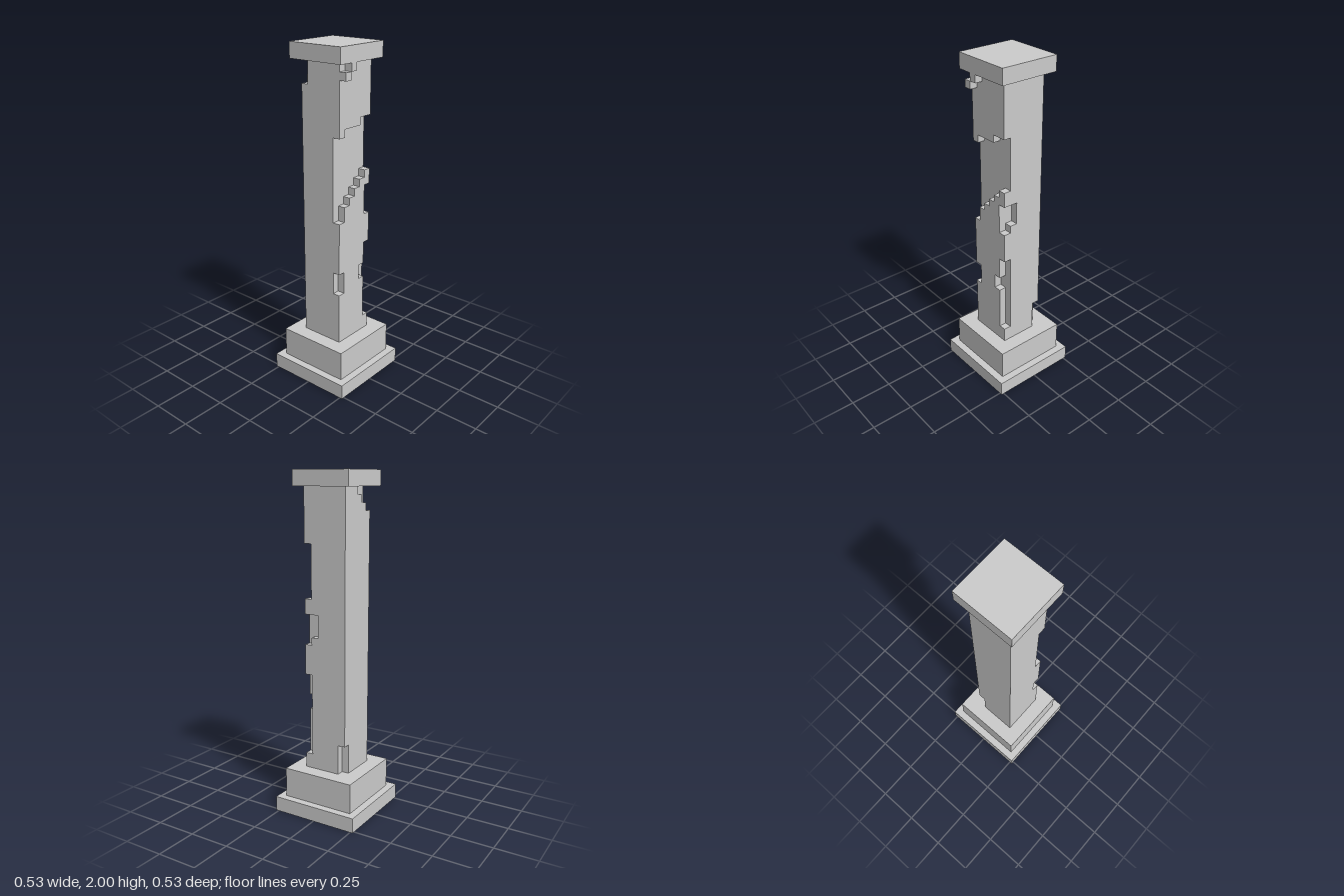
import * as THREE from 'three';

const U = 2 / 45; // one block
const BOTTOM = 6, TOP = 43; // shaft levels, in blocks
const material = new THREE.MeshStandardMaterial({ color: 0xcccccc, flatShading: true });

// Chipped-away blocks: [x0, x1, y0, y1, z0, z1], upper bounds exclusive
const chips = [
  // diagonal gouge across the +x face, one entry per column from back to front
  ...[[29, 36], [28, 36], [27, 35], [26, 35], [25, 35], [23, 34]]
    .map(([y0, y1], z) => [5, 6, y0, y1, z, z + 1]),
  // back corner chips on +x
  [5, 6, 23, 27, 0, 1], [4, 5, 24, 27, 0, 1],
  [5, 6, 8, 19, 0, 1], [5, 6, 14, 16, 1, 2],
  // front corner chip on +x
  [5, 6, 13, 16, 5, 6],
  // stepped chip under the capital on -x
  [0, 1, 40, 43, 5, 6], [0, 1, 41, 43, 4, 5], [0, 1, 42, 43, 3, 4],
  // foot chip at the back on -x
  [0, 1, 6, 10, 0, 1],
];
// Fragments standing proud of the +x face
const fragments = [[6, 7, 41, 42, 5, 6], [6, 7, 42, 43, 4, 5]];

const inside = (x, y, z) => ([x0, x1, y0, y1, z0, z1]) =>
  x >= x0 && x < x1 && y >= y0 && y < y1 && z >= z0 && z < z1;

function solid(x, y, z) {
  const test = inside(x, y, z);
  if (fragments.some(test)) return true;
  return test([0, 6, BOTTOM, TOP, 0, 6]) && !chips.some(test);
}

// Skin of the block shaft: only exposed faces, side faces merged vertically
function shaftGeometry() {
  const pos = [];
  const quad = (a, b, c, d) => {
    for (const p of [a, b, c, a, c, d]) pos.push((p[0] - 3) * U, p[1] * U, (p[2] - 3) * U);
  };
  for (let x = 0; x < 7; x++) for (let z = 0; z < 6; z++) {
    // sides
    for (const [nx, nz] of [[1, 0], [-1, 0], [0, 1], [0, -1]]) {
      const corner = (s, y) => [x + 0.5 + (nx + s * nz) / 2, y, z + 0.5 + (nz - s * nx) / 2];
      let start = -1;
      for (let y = BOTTOM; y <= TOP; y++) {
        const open = solid(x, y, z) && !solid(x + nx, y, z + nz);
        if (open && start < 0) start = y;
        if (!open && start >= 0) {
          quad(corner(-1, start), corner(1, start), corner(1, y), corner(-1, y));
          start = -1;
        }
      }
    }
    // ledges and undersides
    for (let y = BOTTOM + 1; y < TOP; y++) {
      const below = solid(x, y - 1, z), above = solid(x, y, z);
      const ring = [[x, y, z + 1], [x + 1, y, z + 1], [x + 1, y, z], [x, y, z]];
      if (below && !above) quad(...ring);
      if (above && !below) quad(...ring.reverse());
    }
  }
  const g = new THREE.BufferGeometry();
  g.setAttribute('position', new THREE.Float32BufferAttribute(pos, 3));
  g.computeVertexNormals();
  return g;
}

export function createModel() {
  const group = new THREE.Group();
  group.name = 'column';

  const slab = (name, width, y0, y1) => {
    const mesh = new THREE.Mesh(new THREE.BoxGeometry(width * U, (y1 - y0) * U, width * U), material);
    mesh.name = name;
    mesh.position.y = (y0 + y1) / 2 * U;
    group.add(mesh);
  };
  slab('base', 12, 0, 2);
  slab('plinth', 10, 2, BOTTOM);
  slab('capital', 8, TOP, 45);

  const shaft = new THREE.Mesh(shaftGeometry(), material);
  shaft.name = 'shaft';
  group.add(shaft);
  return group;
}
